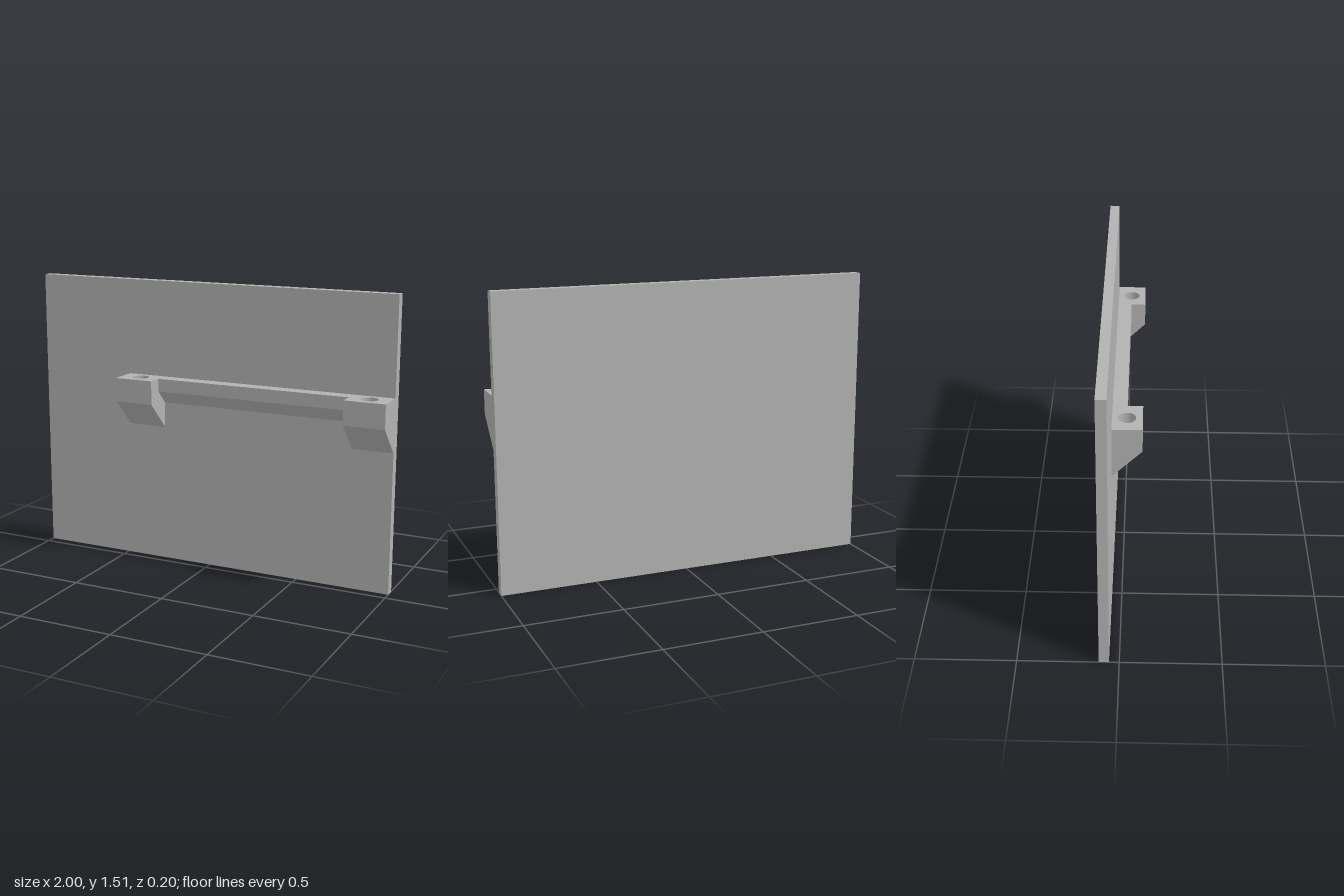
import * as THREE from 'three';

const WALL = -0.05;   // front face of the panel
const TOP = 1.01;     // top of the holder
const KINK = 0.885;   // height where the brackets start to taper

// Extrudes a (z, y) profile along x from x0 to x1
function prism(points, x0, x1) {
  const shape = new THREE.Shape(points.map(([z, y]) => new THREE.Vector2(z, y)));
  const geo = new THREE.ExtrudeGeometry(shape, { depth: x1 - x0, bevelEnabled: false });
  return geo.rotateY(-Math.PI / 2).translate(x1, 0, 0);
}

// Rectangular block with a round vertical socket
function socketBlock(x0, x1) {
  const front = 0.1;
  const shape = new THREE.Shape([
    new THREE.Vector2(x0, -front), new THREE.Vector2(x1, -front),
    new THREE.Vector2(x1, -WALL), new THREE.Vector2(x0, -WALL),
  ]);
  const hole = new THREE.Path();
  hole.absarc((x0 + x1) / 2, -0.023, 0.044, 0, Math.PI * 2, true);
  shape.holes.push(hole);
  const geo = new THREE.ExtrudeGeometry(shape, { depth: TOP - KINK, bevelEnabled: false, curveSegments: 32 });
  return geo.rotateX(-Math.PI / 2).translate(0, KINK, 0);
}

export function createModel() {
  const model = new THREE.Group();
  const grey = new THREE.MeshStandardMaterial({ color: 0xb2b2b2 });
  grey.name = 'grey';

  const add = (name, geometry, parent = model) => {
    const mesh = new THREE.Mesh(geometry, grey);
    mesh.name = name;
    parent.add(mesh);
  };

  // Flat back panel
  add('backPanel', new THREE.BoxGeometry(2, 1.515, 0.05).translate(0, 0.7575, -0.075));

  // Two brackets: socketed block above a 45 degree taper, which closes the socket
  for (const [name, x0, x1] of [['rightBracket', -0.475, -0.265], ['leftBracket', 0.787, 1]]) {
    const bracket = new THREE.Group();
    bracket.name = name;
    add('socketBlock', socketBlock(x0, x1), bracket);
    add('taper', prism([[WALL, 0.735], [0.1, KINK], [WALL, KINK]], x0, x1), bracket);
    model.add(bracket);
  }

  // Shallow rail between the brackets
  add('rail', prism([[WALL, 0.87], [0.023, 0.943], [0.023, TOP], [WALL, TOP]], -0.265, 0.787));

  return model;
}
